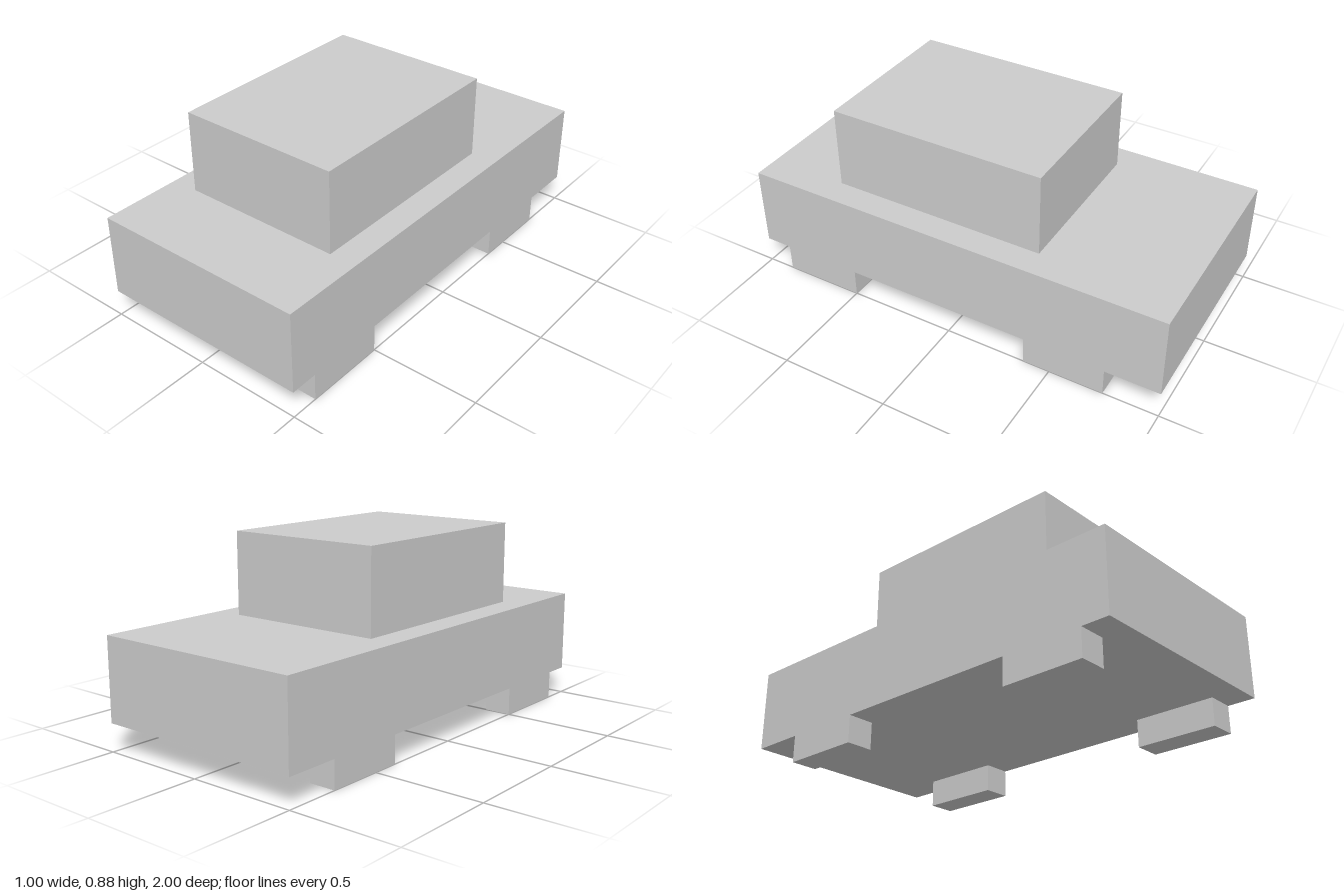
import * as THREE from 'three';

export function createModel() {
  const model = new THREE.Group();
  model.name = 'blockCar';
  const material = new THREE.MeshStandardMaterial({ color: 0xcccccc, flatShading: true });

  // Adds a box given its size, the height of its base and its x/z centre
  function addBlock(name, width, height, depth, x, baseY, z) {
    const mesh = new THREE.Mesh(new THREE.BoxGeometry(width, height, depth), material);
    mesh.name = name;
    mesh.position.set(x, baseY + height / 2, z);
    model.add(mesh);
  }

  // Body slab and the cabin, set slightly forward
  addBlock('body', 1, 0.375, 2, 0, 0.125, 0);
  addBlock('cabin', 0.75, 0.375, 1, 0, 0.5, 0.125);

  // Four square wheels, flush with the body sides
  for (const [end, z] of [['front', 0.6875], ['rear', -0.5625]]) {
    for (const [side, sign] of [['Left', 1], ['Right', -1]]) {
      addBlock(`${end}${side}Wheel`, 0.125, 0.125, 0.375, sign * 0.4375, 0, z);
    }
  }

  return model;
}
